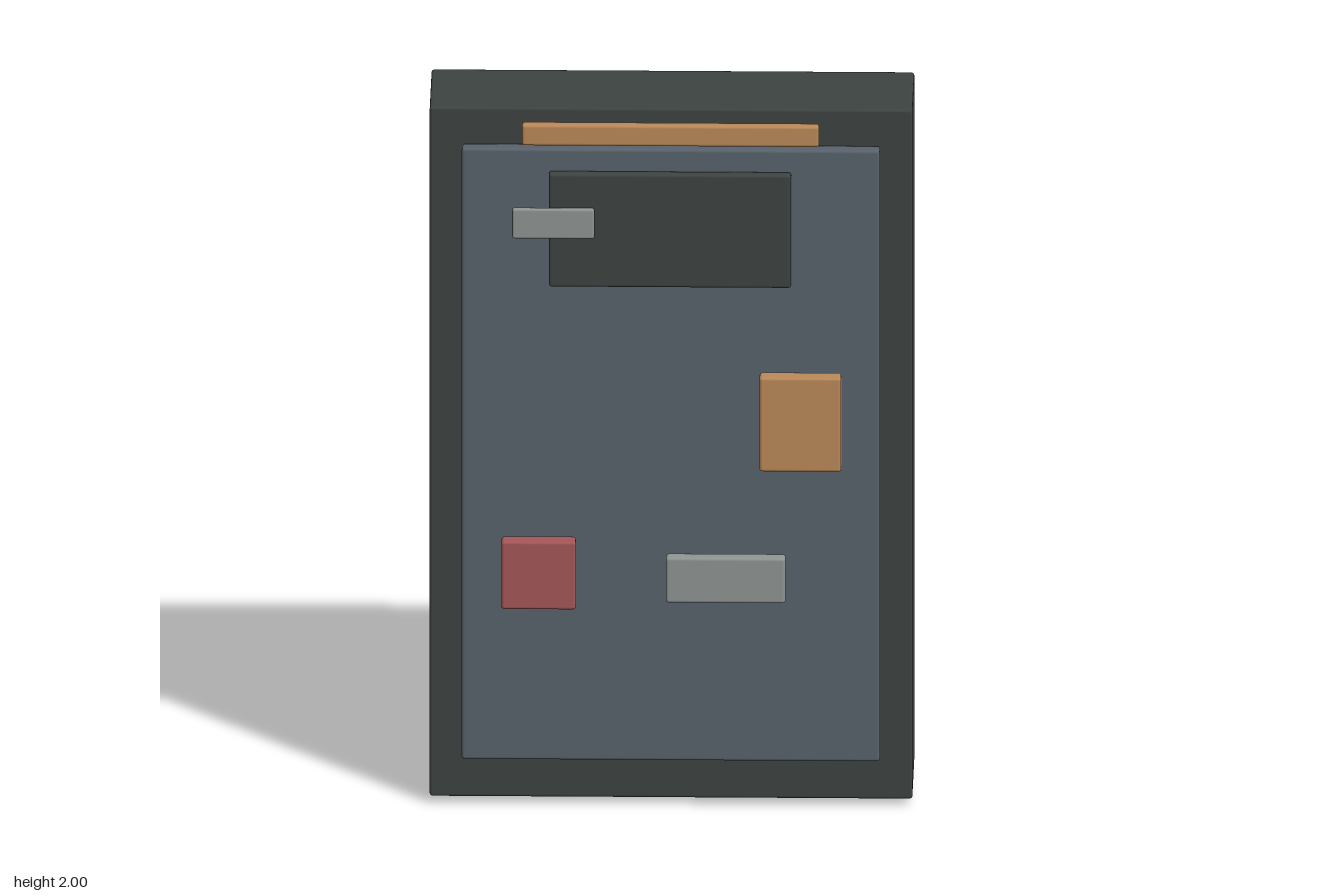
import * as THREE from 'three';
import { RoundedBoxGeometry } from 'three/addons/geometries/RoundedBoxGeometry.js';

const material = (name, color) => {
  const m = new THREE.MeshStandardMaterial({ color });
  m.name = name;
  return m;
};

export function createModel() {
  const charcoal = material('charcoal', 0x3d4341);
  const slate = material('slate', 0x58626b);
  const copper = material('copper', 0xba8858);
  const red = material('dull red', 0xa45656);
  const grey = material('light grey', 0x8e9593);

  const group = new THREE.Group();
  group.name = 'cabinet';

  // Softly bevelled block given by its extents on each axis
  const block = (name, mat, [x0, x1], [y0, y1], [z0, z1], bevel = 0.008) => {
    const geometry = new RoundedBoxGeometry(x1 - x0, y1 - y0, z1 - z0, 2, bevel);
    const mesh = new THREE.Mesh(geometry, mat);
    mesh.name = name;
    mesh.position.set((x0 + x1) / 2, (y0 + y1) / 2, (z0 + z1) / 2);
    group.add(mesh);
  };

  // Main case, door and rear foot
  block('body', charcoal, [-0.65, 0.65], [0.02, 2.0], [-0.163, 0.136]);
  block('frontPanel', slate, [-0.563, 0.563], [0.145, 1.9], [0.142, 0.185]);
  block('rearFoot', slate, [-0.2, 0.2], [0, 0.255], [-0.25, -0.03]);

  // Fittings standing off the front panel
  block('screen', charcoal, [-0.328, 0.325], [1.515, 1.84], [0.186, 0.217]);
  block('topBar', copper, [-0.4, 0.4], [1.925, 1.985], [0.199, 0.23]);
  block('screenTab', grey, [-0.426, -0.205], [1.66, 1.745], [0.217, 0.235], 0.006);
  block('copperPlate', copper, [0.24, 0.46], [1.0, 1.27], [0.2, 0.25]);
  block('redPlate', red, [-0.455, -0.255], [0.6, 0.795], [0.2, 0.25]);
  block('greyPlate', grey, [-0.012, 0.31], [0.62, 0.75], [0.205, 0.246]);

  return group;
}
